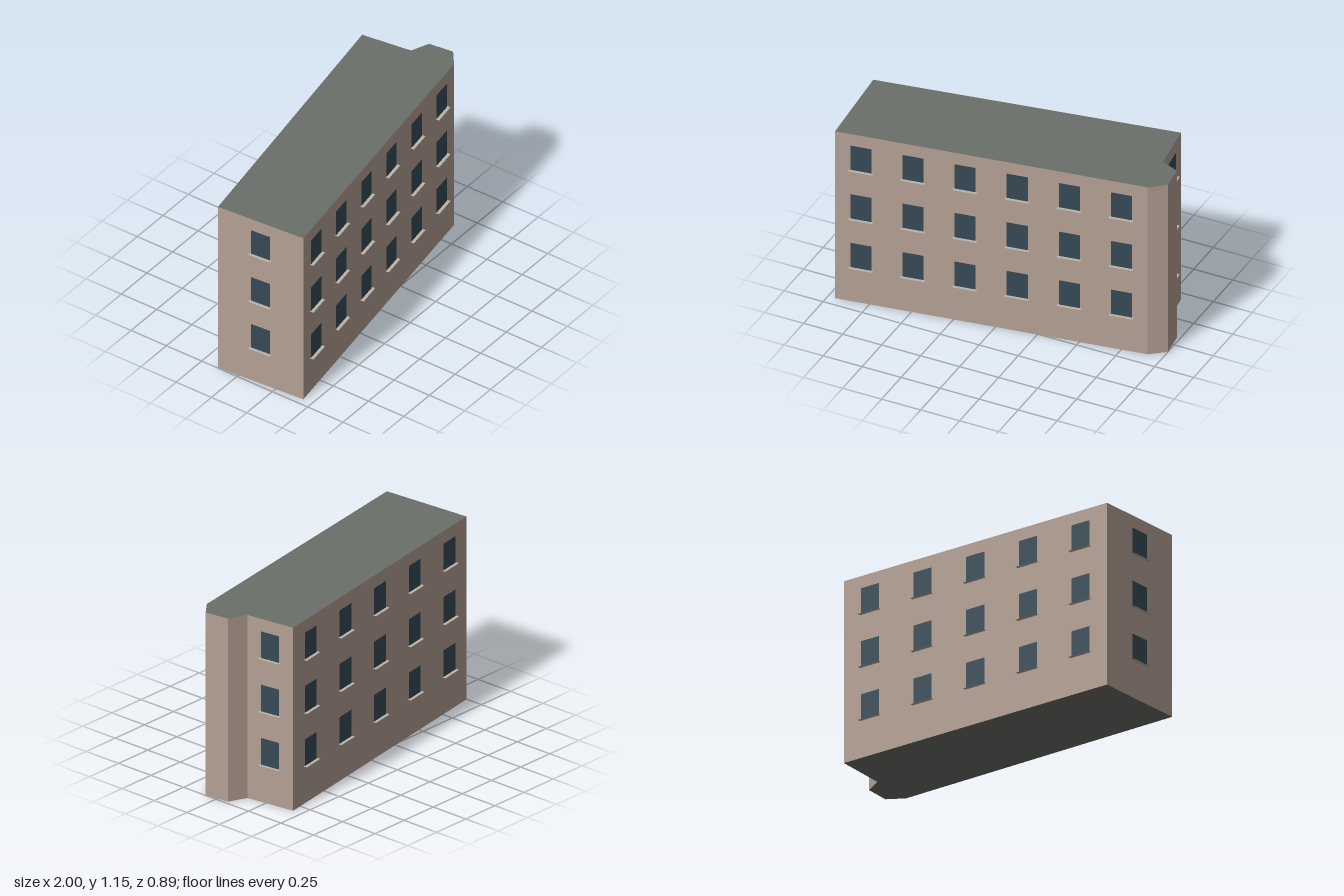
import * as THREE from 'three';

const HEIGHT = 1.15;
const FLOORS = [0.235, 0.57, 0.905]; // window bottom heights
const WIN_W = 0.127, WIN_H = 0.167;
const SILL_W = 0.145, SILL_D = 0.022;

// Footprint corners as [x, z], running from the back right round the front
const CORNERS = [
  [-0.997, -0.137], [-0.955, 0.437], [0.907, 0.154], [1, 0.08],
  [0.98, -0.075], [0.867, -0.122], [0.825, -0.437],
];
// Number of windows per floor on the wall that starts at each corner
const WINDOWS = [1, 6, 0, 0, 0, 1, 5];

const wallMat = new THREE.MeshStandardMaterial({ color: 0xb4a093 });
const roofMat = new THREE.MeshStandardMaterial({ color: 0x6b6f69 });
const glassMat = new THREE.MeshStandardMaterial({ color: 0x364a57 });
const sillMat = new THREE.MeshStandardMaterial({ color: 0xb9b2a8, side: THREE.DoubleSide });

function named(name, geometry, material) {
  const mesh = new THREE.Mesh(geometry, material);
  mesh.name = name;
  return mesh;
}

// Glass pane with a thin flat sill under it, facing +z
function makeWindow() {
  const group = new THREE.Group();
  group.name = 'window';
  const pane = named('windowPane', new THREE.PlaneGeometry(WIN_W, WIN_H), glassMat);
  pane.position.set(0, WIN_H / 2, 0.002);
  const sill = named('windowSill', new THREE.PlaneGeometry(SILL_W, SILL_D), sillMat);
  sill.rotation.x = -Math.PI / 2;
  sill.position.z = SILL_D / 2;
  group.add(pane, sill);
  return group;
}

export function createModel() {
  const model = new THREE.Group();
  model.name = 'apartmentBlock';

  // Building body: roof and underside share one material, walls another
  const shape = new THREE.Shape(CORNERS.map(([x, z]) => new THREE.Vector2(x, -z)));
  const body = new THREE.ExtrudeGeometry(shape, { depth: HEIGHT, bevelEnabled: false });
  body.rotateX(-Math.PI / 2);
  model.add(named('buildingBody', body, [roofMat, wallMat]));

  // Windows evenly spaced along each wall, repeated on every floor
  CORNERS.forEach(([x0, z0], i) => {
    const [x1, z1] = CORNERS[(i + 1) % CORNERS.length];
    const dx = x1 - x0, dz = z1 - z0;
    for (let k = 0; k < WINDOWS[i]; k++) {
      const t = (k + 0.5) / WINDOWS[i];
      for (const y of FLOORS) {
        const win = makeWindow();
        win.position.set(x0 + dx * t, y, z0 + dz * t);
        win.rotation.y = Math.atan2(-dz, dx);
        model.add(win);
      }
    }
  });
  return model;
}
